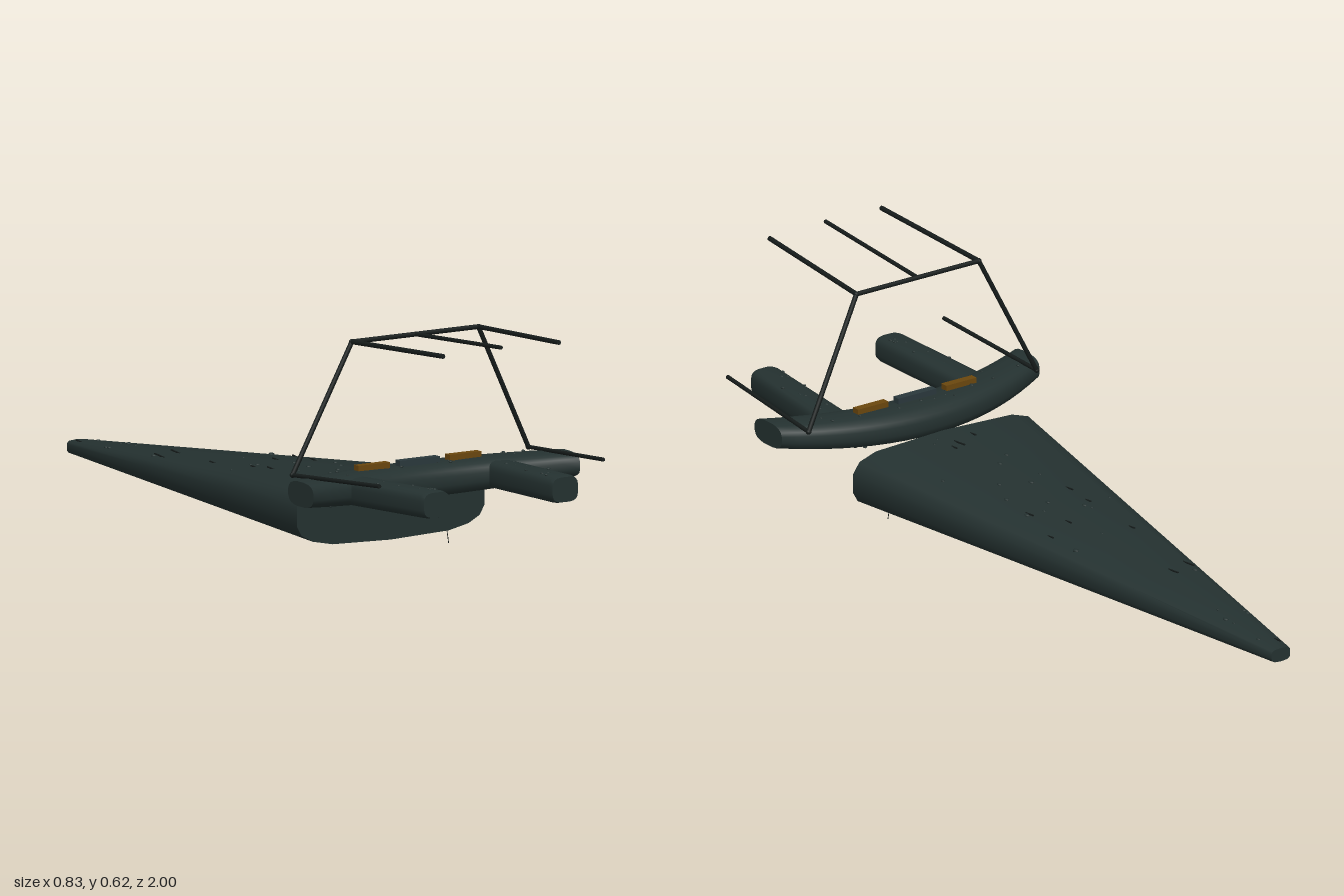
import * as THREE from 'three';
import { toCreasedNormals } from 'three/addons/utils/BufferGeometryUtils.js';

const V = (x, y, z) => new THREE.Vector3(x, y, z);

// Skin a closed solid over rings of equal point count
function loft(rings, crease = 0.7) {
  const n = rings[0].length, pos = [], idx = [];
  rings.forEach(r => r.forEach(p => pos.push(p.x, p.y, p.z)));
  for (let k = 0; k < rings.length - 1; k++) {
    for (let i = 0; i < n; i++) {
      const a = k * n + i, b = k * n + (i + 1) % n;
      idx.push(a, b, b + n, a, b + n, a + n);
    }
  }
  [0, rings.length - 1].forEach((k, end) => {
    const c = rings[k].reduce((s, p) => s.add(p), V(0, 0, 0)).divideScalar(n);
    const ci = pos.length / 3;
    pos.push(c.x, c.y, c.z);
    for (let i = 0; i < n; i++) {
      const a = k * n + i, b = k * n + (i + 1) % n;
      if (end) idx.push(ci, a, b); else idx.push(ci, b, a);
    }
  });
  const g = new THREE.BufferGeometry();
  g.setAttribute('position', new THREE.Float32BufferAttribute(pos, 3));
  g.setIndex(idx);
  return toCreasedNormals(g, crease);
}

// Rounded-box outline as [a, b] pairs, counter-clockwise
function roundOutline(a, b, power, n = 20) {
  return Array.from({ length: n }, (_, i) => {
    const t = (i + 0.5) / n * Math.PI * 2, c = Math.cos(t), s = Math.sin(t);
    const f = v => Math.sign(v) * Math.abs(v) ** (2 / power);
    return [a * f(c), b * f(s)];
  });
}

function seeded(seed) {
  return () => (seed = (seed * 16807) % 2147483647) / 2147483647;
}

export function createModel() {
  const mat = (name, color) => Object.assign(new THREE.MeshStandardMaterial({ color }), { name });
  const hull = mat('dark green hull', 0x243130);
  const black = mat('near black rods', 0x161c1b);
  const amber = mat('amber panel', 0x6b470e);
  const slate = mat('slate panel', 0x2a383c);

  const root = new THREE.Group();
  root.name = 'craft';
  const body = new THREE.Group();
  body.name = 'body';
  body.position.x = -0.007;
  root.add(body);
  const add = (geo, m, name) => {
    const mesh = new THREE.Mesh(geo, m);
    mesh.name = name;
    body.add(mesh);
    return mesh;
  };
  const rod = (a, b, r, name, m = black) => {
    const mesh = add(new THREE.CylinderGeometry(r, r, a.distanceTo(b), 8), m, name);
    mesh.position.copy(a).add(b).multiplyScalar(0.5);
    mesh.quaternion.setFromUnitVectors(V(0, 1, 0), b.clone().sub(a).normalize());
  };

  // Long tapering tail
  const half = [[0.62, 0.035], [0.83, 0.11], [0.95, 0.22], [1, 0.37], [1, 0.68], [0.93, 0.85], [0.75, 0.95]];
  const outline = [[0, 0], ...half, [0, 1], ...half.slice().reverse().map(([u, v]) => [-u, v])];
  const tail = z => {
    const t = (z + 1) / 1.48;
    return { w: 0.03 + 0.262 * t, h: 0.037 + 0.134 * t };
  };
  add(loft([-1, -0.5, 0, 0.48].map(z => {
    const { w, h } = tail(z);
    return outline.map(([u, v]) => V(u * w, 0.03 + v * h, z));
  })), hull, 'tail');

  // Bowed cross beam
  const beam = x => {
    const q = (x / 0.415) ** 2;
    return { z: 0.59 + 0.095 * q, y: 0.205 + 0.018 * q, d: 0.07 - 0.01 * q, h: 0.045 - 0.012 * q };
  };
  add(loft(Array.from({ length: 21 }, (_, i) => {
    const x = -0.415 + 0.83 * i / 20, s = beam(x);
    return roundOutline(s.h, s.d, 2.8).map(([y, z]) => V(x, s.y + y, s.z + z));
  })), hull, 'crossBeam');

  // Two forward arms, slightly toed in
  for (const side of [-1, 1]) {
    const stations = [[0.6, 1], [0.8, 1], [0.985, 1], [1, 0.92]];
    add(loft(stations.map(([z, k]) => {
      const t = (z - 0.6) / 0.4;
      return roundOutline(0.043 * k, 0.036 * k, 3.5)
        .map(([x, y]) => V(side * (0.226 - 0.026 * t) + x, 0.207 + 0.015 * t + y, z));
    })), hull, side < 0 ? 'rightArm' : 'leftArm');
  }

  // Overhead frame and its forward rods
  for (const side of [-1, 1]) {
    const foot = V(side * 0.367, 0.252, 0.573), top = V(side * 0.197, 0.59, 0.595);
    rod(foot, top, 0.0065, 'framePost');
    rod(top, V(side * 0.18, 0.612, 1), 0.0065, 'upperRod');
    rod(foot, V(side * 0.348, 0.279, 0.955), 0.0055, 'lowerRod');
    for (const p of [foot, top]) {
      add(new THREE.SphereGeometry(0.0075, 8, 6), black, 'frameJoint').position.copy(p);
    }
  }
  rod(V(-0.197, 0.59, 0.595), V(0.197, 0.59, 0.595), 0.0065, 'frameCrossbar');
  rod(V(0, 0.59, 0.595), V(0, 0.617, 1), 0.0055, 'middleRod');

  // Console panels on the beam
  for (const [x, w, m] of [[-0.142, 0.098, amber], [0, 0.123, slate], [0.142, 0.098, amber]]) {
    add(new THREE.BoxGeometry(w, 0.03, 0.022), m, 'consolePanel').position.set(x, 0.25, 0.607);
  }

  // Small growths and scratches scattered over the hull
  const rnd = seeded(77);
  const bump = new THREE.SphereGeometry(1, 7, 5);
  const wart = (x, y, z, r) => {
    const m = add(bump, hull, 'growth');
    m.position.set(x, y, z);
    m.scale.set(r, r * 0.6, r * 1.2);
  };
  for (let i = 0; i < 36; i++) {
    const z = -0.95 + 1.4 * rnd(), u = (rnd() * 2 - 1) * 0.75, { w, h } = tail(z);
    const y = 0.03 + h * (1 - 0.05 * Math.abs(u) / 0.75);
    if (i % 3) wart(u * w, y, z, 0.003 + 0.005 * rnd());
    else {
      const streak = add(new THREE.BoxGeometry(0.004, 0.003, 0.03 + 0.05 * rnd()), black, 'scratch');
      streak.position.set(u * w, y, z);
      streak.rotation.x = 0.09;
    }
  }
  for (let i = 0; i < 36; i++) {
    const x = (rnd() * 2 - 1) * 0.4, s = beam(x), a = (rnd() * 2 - 1) * 0.5;
    wart(x, s.y + (i % 2 ? 1 : -1) * s.h * 0.99, s.z + a * s.d, 0.003 + 0.003 * rnd());
  }
  for (let i = 0; i < 28; i++) {
    const side = i % 2 ? 1 : -1, t = 0.2 + 0.75 * rnd(), a = (rnd() * 2 - 1) * 0.7;
    const up = rnd() > 0.4 ? 1 : -1;
    wart(side * (0.226 - 0.026 * t) + a * 0.043, 0.207 + 0.015 * t + up * 0.035, 0.6 + 0.4 * t, 0.003 + 0.003 * rnd());
  }

  // Thin strand hanging under the tail
  rod(V(0.18, 0.045, 0.47), V(0.187, 0, 0.47), 0.001, 'strand');
  return root;
}
